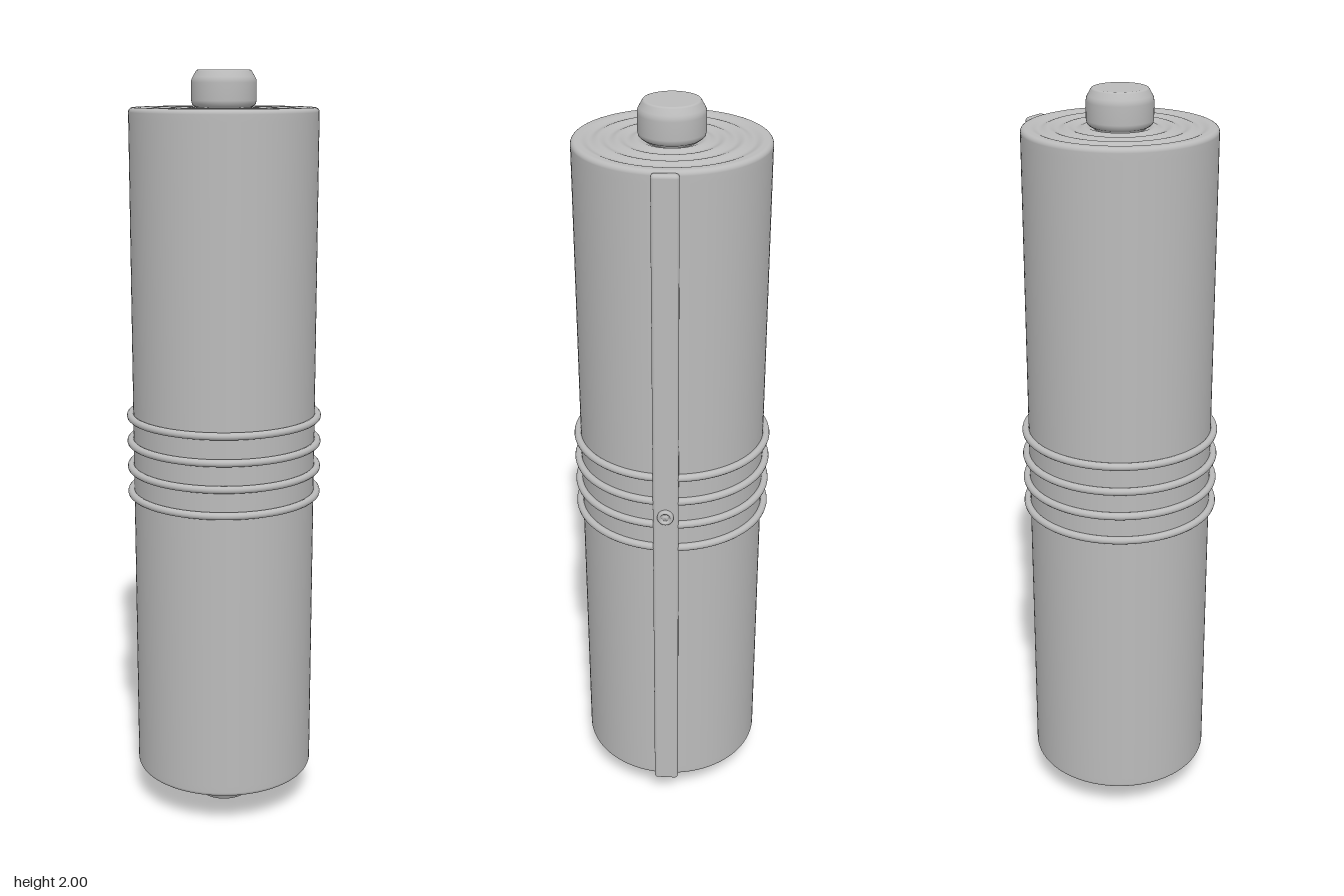
import * as THREE from 'three';
import { RoundedBoxGeometry } from 'three/addons/geometries/RoundedBoxGeometry.js';

const AXIS_X = -0.008, RADIUS = 0.243, BOTTOM = 0.1, TOP = 1.908;

export function createModel() {
  const model = new THREE.Group();
  const grey = new THREE.MeshStandardMaterial({ color: 0xbbbbbb });
  grey.name = 'plain grey';

  const add = (name, geometry, x = AXIS_X, y = 0, z = 0) => {
    const mesh = new THREE.Mesh(geometry, grey);
    mesh.name = name;
    mesh.position.set(x, y, z);
    model.add(mesh);
    return mesh;
  };
  const lathe = (points, segments = 96) =>
    new THREE.LatheGeometry(points.map(([r, y]) => new THREE.Vector2(r, y)), segments);

  // Rolled body: rippled ends like layers of a roll, softly rounded rims
  const end = [];
  for (let i = 0; i <= 64; i++) {
    const r = 0.05 + (0.2205 - 0.05) * i / 64;
    end.push([r, 0.006 * (1 - Math.cos((r - 0.2205) / 0.045 * Math.PI * 2)) / 2]);
  }
  for (let i = 0; i <= 6; i++) {
    const a = i / 6 * Math.PI / 2;
    end.push([RADIUS - 0.012 + 0.012 * Math.sin(a), 0.012 * (1 - Math.cos(a))]);
  }
  const body = [
    ...end.map(([r, d]) => [r, BOTTOM + d]),
    [RADIUS, BOTTOM + 0.03], [RADIUS, TOP - 0.03],
    ...end.slice().reverse().map(([r, d]) => [r, TOP - d]),
  ];
  add('rolledBody', lathe(body));

  // Rod ends, mirrored top and bottom
  const knob = [
    [0, -0.02], [0.062, -0.02], [0.064, -0.002], [0.075, 0.003], [0.081, 0.009], [0.083, 0.018],
    [0.083, 0.062], [0.082, 0.07], [0.079, 0.076], [0.071, 0.09],
    [0.069, 0.0925], [0.066, 0.0935], [0.064, 0.0935], [0, 0.0935],
  ];
  add('topKnob', lathe(knob, 64), AXIS_X, 2 - 0.0935);
  add('bottomKnob', lathe(knob, 64), AXIS_X, 0.0935).rotation.x = Math.PI;

  // Four cords wound around the middle
  for (const y of [0.898, 0.968, 1.038, 1.108]) {
    add('cord', new THREE.TorusGeometry(0.25, 0.01, 12, 128), AXIS_X, y).rotation.x = Math.PI / 2;
  }

  // Long edge strip down the left side
  add('edgeStrip', new RoundedBoxGeometry(0.024, TOP - BOTTOM - 0.006, 0.066, 4, 0.009),
    0.243, (TOP + BOTTOM) / 2);

  // Small button with a dimple, facing outward from the strip
  const button = [
    [0.021, -0.012], [0.021, 0.006], [0.019, 0.01], [0.016, 0.0115],
    [0.013, 0.01], [0.011, 0.005], [0.008, 0.005], [0.006, 0.008], [0, 0.009],
  ];
  add('button', lathe(button, 32), 0.2545, 1).rotation.z = -Math.PI / 2;

  return model;
}
